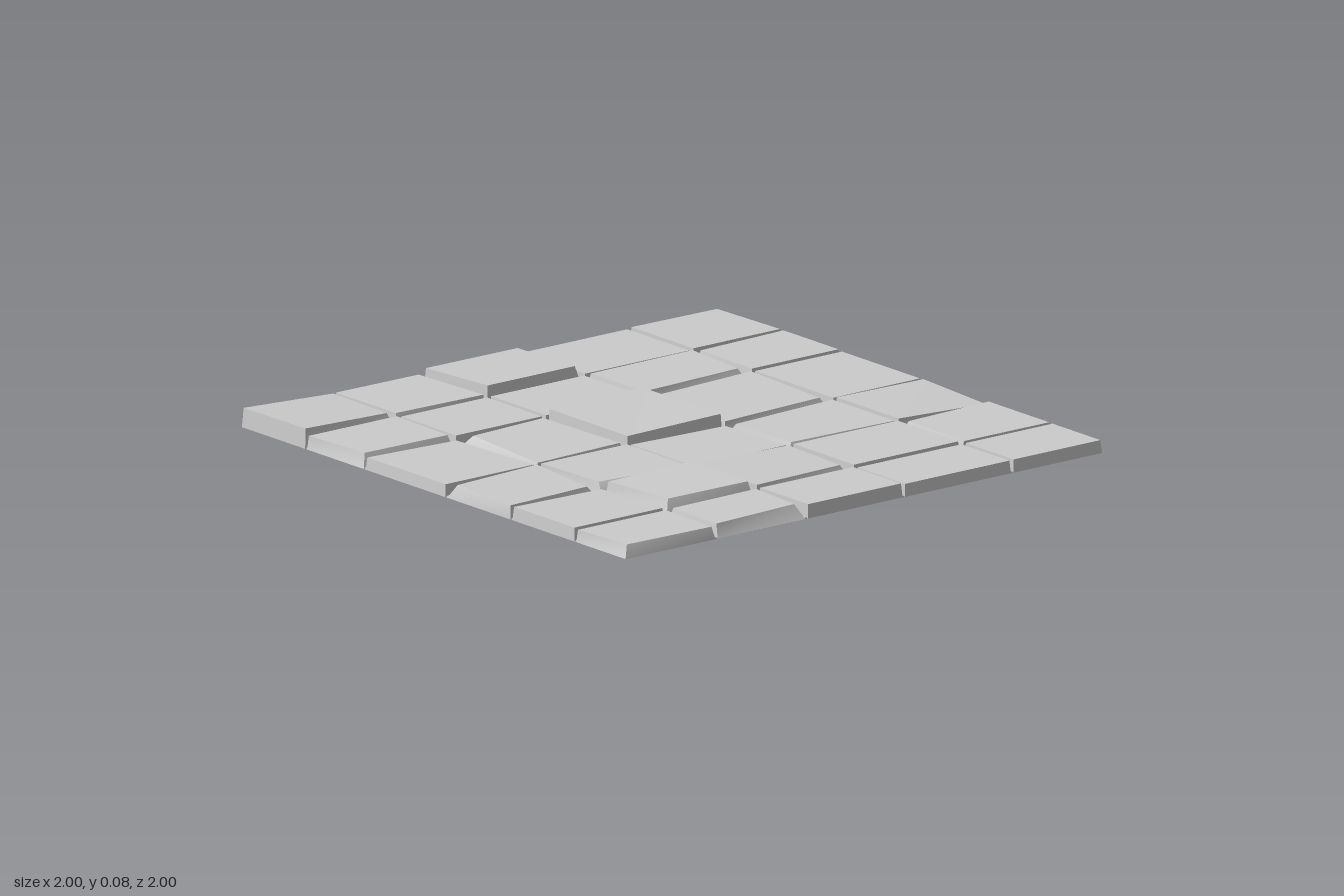
import * as THREE from 'three';

// Joint positions between the columns (x) and rows (z) of stones
const COLS = [-1, -0.618, -0.24, 0.168, 0.623, 1];
const ROWS = [-1, -0.665, -0.36, 0.065, 0.405, 0.738, 1];
const GAP = 0.005;

// Worn corners, keyed by row and column: corner -> [x inset, z inset]
// b/f = back/front, l/r = low/high x
const WORN = {
  '00': { fr: [0.012, 0.028], br: [0.005, 0.012] },
  '01': { br: [0.02, 0.008], fl: [0.005, 0.015] },
  '02': { br: [0.01, 0.005], fr: [0.022, 0.012] },
  '04': { br: [0.015, 0.012] },
  10: { fl: [0.02, 0.02], fr: [0.014, 0.014] },
  13: { bl: [0.01, 0.01], fl: [0.012, 0.01], fr: [0.025, 0.03] },
  14: { bl: [0.01, 0.018] },
  20: { br: [0.02, 0.03] },
  21: { bl: [0.04, 0.03], br: [0.018, 0.01], fr: [0.006, 0.02] },
  23: { bl: [0.025, 0.03], fr: [0.025, 0.028] },
  30: { bl: [0.02, 0.03], fr: [0.04, 0.02] },
  31: { fl: [0.015, 0.04] },
  32: { br: [0.015, 0.025] },
  33: { bl: [0.015, 0.03], fl: [0.02, 0.02] },
  40: { br: [0.02, 0.02] },
  41: { bl: [0.01, 0.008], fl: [0.03, 0.03], fr: [0.015, 0.015] },
  42: { br: [0.01, 0.006], fr: [0.025, 0.03] },
  44: { bl: [0.02, 0.02], fl: [0.012, 0.006] },
  50: { fl: [0.02, 0.018], fr: [0.01, 0.008] },
  51: { bl: [0.012, 0.01], fr: [0.02, 0.035], fl: [0.006, 0.015] },
};

// Corner heights [bl, br, fl, fr] of the stones that stand proud or tilt
const HEIGHTS = {
  '00': [0.068, 0.052, 0.07, 0.052],
  '02': [0.065, 0.064, 0.078, 0.075],
  22: [0.07, 0.073, 0.07, 0.075],
  34: [0.05, 0.046, 0.05, 0.034],
  41: [0.064, 0.068, 0.066, 0.07],
  42: [0.055, 0.05, 0.055, 0.05],
};
const CORNERS = ['bl', 'br', 'fl', 'fr'];

// A block with a rectangular foot and a freely shaped top
function stoneGeometry(x0, x1, z0, z1, worn, heights) {
  const geo = new THREE.BoxGeometry(1, 1, 1);
  const pos = geo.attributes.position;
  for (let i = 0; i < pos.count; i++) {
    const right = pos.getX(i) > 0;
    const front = pos.getZ(i) > 0;
    const top = pos.getY(i) > 0;
    const k = (front ? 2 : 0) + (right ? 1 : 0);
    const [dx, dz] = top ? worn[CORNERS[k]] ?? [0.004, 0.004] : [0, 0];
    pos.setXYZ(
      i,
      right ? x1 - dx : x0 + dx,
      top ? heights[k] : 0.002,
      front ? z1 - dz : z0 + dz
    );
  }
  geo.computeVertexNormals();
  return geo;
}

export function createModel() {
  const group = new THREE.Group();
  group.name = 'pavingSlab';
  const material = new THREE.MeshStandardMaterial({ color: 0xcccccc });

  // Thin bed closing the joints from below
  const bed = new THREE.Mesh(new THREE.BoxGeometry(1.99, 0.005, 1.99), material);
  bed.position.y = 0.0025;
  bed.name = 'bed';
  group.add(bed);

  // Paving stones, five columns by six rows
  const stones = new THREE.Group();
  stones.name = 'pavingStones';
  for (let r = 0; r < ROWS.length - 1; r++) {
    for (let c = 0; c < COLS.length - 1; c++) {
      const key = `${r}${c}`;
      const h = 0.047 + 0.003 * Math.sin(r * 2.3 + c * 1.7);
      const geo = stoneGeometry(
        COLS[c] + (c > 0 ? GAP : 0),
        COLS[c + 1] - (c < 4 ? GAP : 0),
        ROWS[r] + (r > 0 ? GAP : 0),
        ROWS[r + 1] - (r < 5 ? GAP : 0),
        WORN[key] ?? {},
        HEIGHTS[key] ?? [h, h, h, h]
      );
      const stone = new THREE.Mesh(geo, material);
      stone.name = `stoneRow${r + 1}Column${c + 1}`;
      stones.add(stone);
    }
  }
  group.add(stones);
  return group;
}
